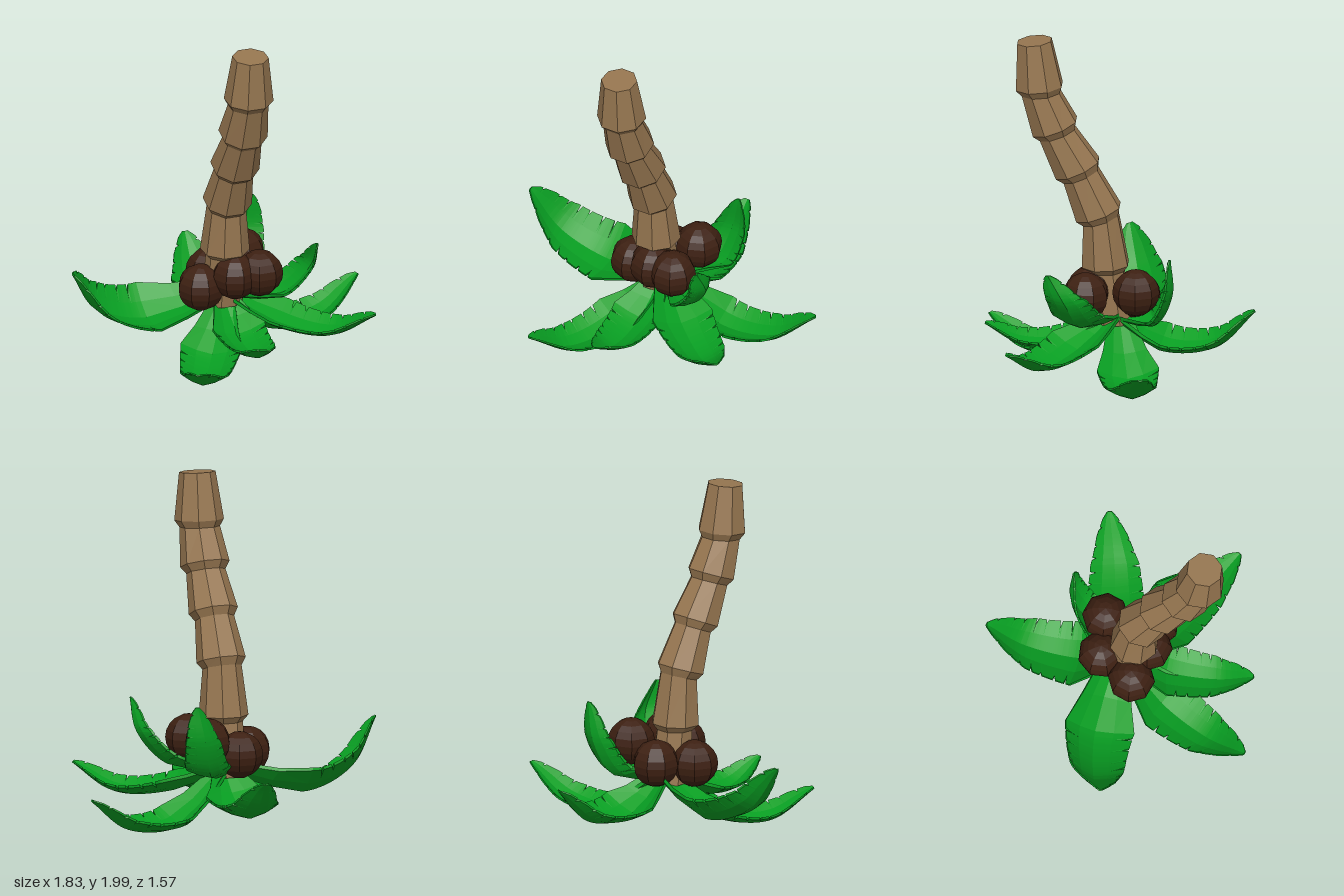
import * as THREE from 'three';

const V = (x, y, z) => new THREE.Vector3(x, y, z);
const material = (color) => new THREE.MeshStandardMaterial({ color, flatShading: true });

// Closed skin over a list of rings, each a loop running counter-clockwise about the path
function loft(rings) {
  const n = rings[0].length;
  const pos = [], idx = [];
  rings.forEach((r) => r.forEach((p) => pos.push(p.x, p.y, p.z)));
  for (let i = 0; i < rings.length - 1; i++) {
    for (let j = 0; j < n; j++) {
      const a = i * n + j, b = i * n + (j + 1) % n;
      idx.push(a, b, b + n, a, b + n, a + n);
    }
  }
  // end caps
  [0, rings.length - 1].forEach((i, end) => {
    const c = V(0, 0, 0);
    rings[i].forEach((p) => c.addScaledVector(p, 1 / n));
    const ci = pos.push(c.x, c.y, c.z) / 3 - 1;
    for (let j = 0; j < n; j++) {
      const a = i * n + j, b = i * n + (j + 1) % n;
      if (end) idx.push(ci, a, b);
      else idx.push(ci, b, a);
    }
  });
  const g = new THREE.BufferGeometry();
  g.setAttribute('position', new THREE.Float32BufferAttribute(pos, 3));
  g.setIndex(idx);
  const flat = g.toNonIndexed();
  flat.computeVertexNormals();
  return flat;
}

// Piecewise linear lookup in [t, value] stops
function lookup(stops, t) {
  let i = 0;
  while (i < stops.length - 2 && t > stops[i + 1][0]) i++;
  const [a, b] = [stops[i], stops[i + 1]];
  return a[1] + (b[1] - a[1]) * (t - a[0]) / (b[0] - a[0]);
}

// Eight-sided trunk: rings of [y, z, half width, tilt in degrees]
function trunkGeometry() {
  const rows = [
    [0.30, 0.04, 0.110, 0], [0.605, 0.08, 0.100, 2], [0.64, 0.087, 0.132, 3],
    [0.915, 0.112, 0.105, 18], [0.955, 0.127, 0.132, 20],
    [1.18, 0.227, 0.105, 23], [1.22, 0.247, 0.132, 24],
    [1.43, 0.362, 0.105, 20], [1.47, 0.377, 0.132, 21],
    [1.675, 0.457, 0.108, 6], [1.715, 0.467, 0.132, 6], [1.99, 0.495, 0.097, 6],
  ];
  return loft(rows.map(([y, z, half, deg]) => {
    const r = half / Math.cos(Math.PI / 8), tilt = deg * Math.PI / 180;
    return Array.from({ length: 8 }, (_, j) => {
      const a = (j + 0.5) * Math.PI / 4;
      const f = r * Math.cos(a);
      return V(r * Math.sin(a), y - f * Math.sin(tilt), z + f * Math.cos(tilt));
    });
  }));
}

const WIDTH = [[0, 0.4], [0.33, 1], [0.667, 0.78], [0.86, 0.5], [0.96, 0.25], [1, 0.08]];

// Cupped leaf with slits along both edges, following a four-point spine
function leafGeometry(points, half, roll, turn) {
  const spine = new THREE.CatmullRomCurve3(points.map((p) => V(...p)));
  const heading = spine.points[3].clone().sub(spine.points[0]).setY(0).normalize()
    .applyAxisAngle(V(0, 1, 0), turn);
  const side = V(0, 1, 0).cross(heading).applyAxisAngle(heading, roll);

  // rows of [t, edge factor on one side, edge factor on the other]
  const rows = [0, 0.17, 1 / 3, 0.5, 2 / 3, 0.86, 0.96, 1].map((t) => [t, 1, 1]);
  [0.38, 0.46, 0.55, 0.62, 0.72, 0.80, 0.91].forEach((t, k) => {
    const cut = 0.76 + 0.06 * (k % 3);
    rows.push([t - 0.012, 1, 1], [t, cut, 1], [t + 0.006, 1, 1],
      [t + 0.018, 1, 1], [t + 0.028, 1, cut], [t + 0.034, 1, 1]);
  });
  rows.sort((a, b) => a[0] - b[0]);

  return loft(rows.map(([t, fa, fb]) => {
    const c = spine.getPoint(t);
    const up = spine.getTangent(t).cross(side).normalize();
    const w = half * lookup(WIDTH, t);
    const at = (u, lift) => c.clone().addScaledVector(side, u * w)
      .addScaledVector(up, 0.42 * w * Math.pow(Math.abs(u), 1.5) + lift);
    const across = [fa, 0.5, 0, -0.5, -fb];
    const thick = 0.022 * (1 - 0.6 * t);
    return [...across.map((u) => at(u, thick / 2)),
      ...across.slice().reverse().map((u) => at(u, -thick / 2))];
  }));
}

export function createModel() {
  const model = new THREE.Group();
  const add = (name, geometry, mat, parent = model) => {
    const mesh = new THREE.Mesh(geometry, mat);
    mesh.name = name;
    parent.add(mesh);
    return mesh;
  };

  add('trunk', trunkGeometry(), material(0x967650)).position.x = -0.006;

  // Coconuts clustered round the narrow end of the trunk
  const coconuts = new THREE.Group();
  coconuts.name = 'coconuts';
  model.add(coconuts);
  const brown = material(0x3d2012);
  const ball = new THREE.SphereGeometry(0.136, 8, 10);
  [[-0.155, 0.425, 0.09], [-0.03, 0.44, -0.10], [0.168, 0.53, -0.10],
    [0.168, 0.505, 0.19], [0.025, 0.5, 0.17]].forEach((p, i) => {
    const m = add('coconut' + (i + 1), ball, brown, coconuts);
    m.position.set(...p);
    m.rotation.y = i * 0.4;
  });

  // Leaves: spine points, half width, roll about the heading, turn about the vertical
  const leaves = new THREE.Group();
  leaves.name = 'leaves';
  model.add(leaves);
  const green = material(0x089e22);
  [
    [[[0.02, 0.31, 0.0], [0.03, 0.15, -0.23], [0.06, 0.175, -0.55], [0.08, 0.40, -0.78]], 0.20, 0, 0],
    [[[0, 0.33, -0.02], [-0.42, 0.20, -0.09], [-0.74, 0.32, -0.06], [-0.91, 0.58, 0]], 0.21, -0.35, 0],
    [[[0.04, 0.30, 0.0], [0.32, 0.05, -0.06], [0.66, 0.06, -0.11], [0.91, 0.25, -0.17]], 0.18, 0, 0],
    [[[0.03, 0.33, 0.04], [0.25, 0.20, 0.23], [0.52, 0.17, 0.44], [0.72, 0.32, 0.61]], 0.18, 0, 0],
    [[[0, 0.28, 0.05], [-0.15, 0.065, 0.26], [-0.31, 0.02, 0.54], [-0.44, 0.18, 0.78]], 0.18, 0, 0],
    [[[0, 0.32, 0.05], [0, 0.17, 0.27], [0, 0.15, 0.56], [0, 0.27, 0.78]], 0.16, 0, 0],
    [[[0.03, 0.32, 0.0], [0.19, 0.35, -0.21], [0.26, 0.55, -0.31], [0.31, 0.78, -0.305]], 0.14, 0, 0.75],
    [[[0.03, 0.33, 0.04], [0.29, 0.36, 0.21], [0.445, 0.54, 0.29], [0.45, 0.72, 0.39]], 0.15, 0, 0.65],
  ].forEach((leaf, i) => add('leaf' + (i + 1), leafGeometry(...leaf), green, leaves));

  return model;
}
